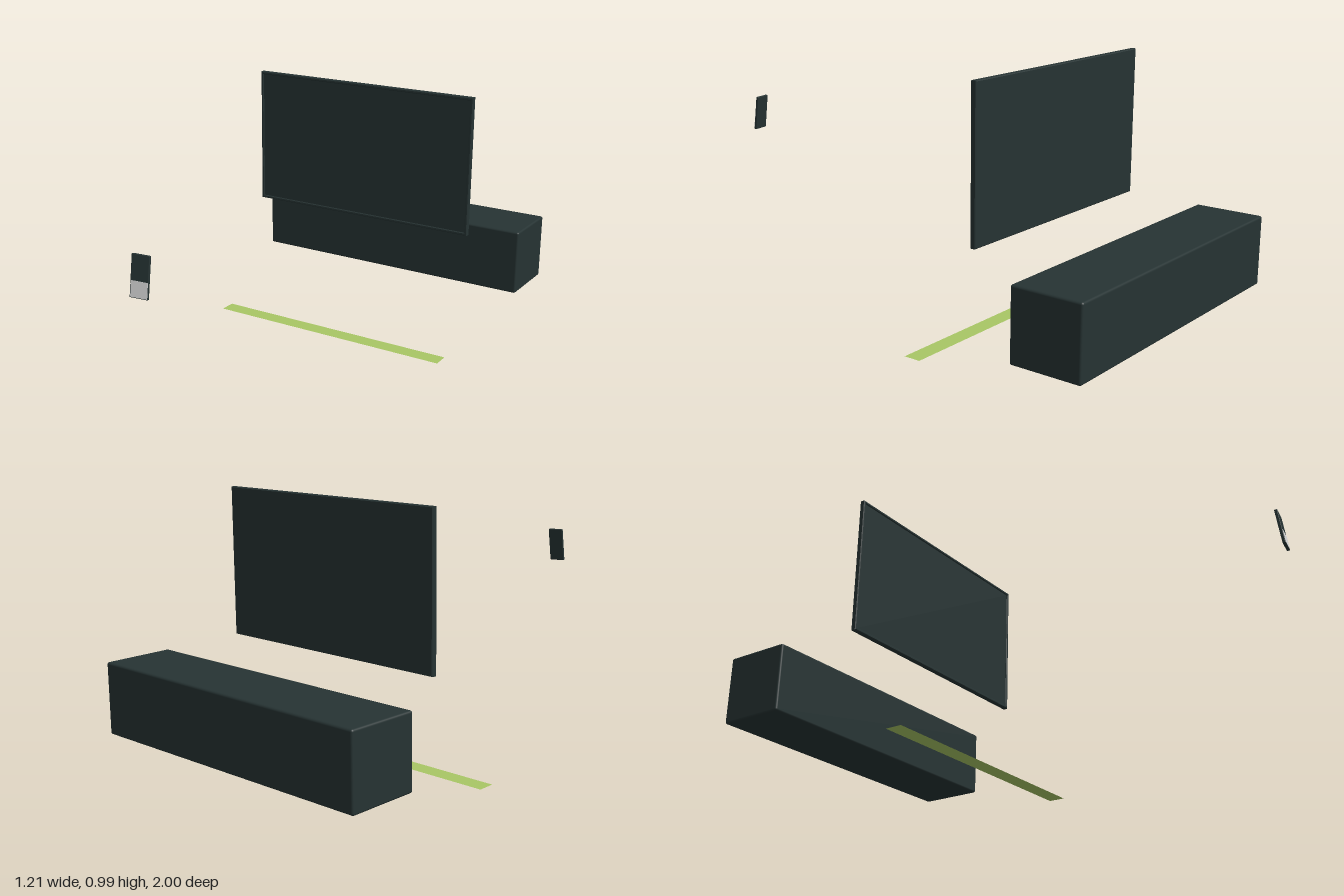
import * as THREE from 'three';
import { RoundedBoxGeometry } from 'three/addons/geometries/RoundedBoxGeometry.js';

const mat = (name, color, side = THREE.FrontSide) => {
  const m = new THREE.MeshStandardMaterial({ color, side });
  m.name = name;
  return m;
};

export function createModel() {
  const dark = mat('dark slate', 0x263333);
  const pale = mat('pale grey', 0xd8d8d8);
  const green = mat('light green', 0xa9c765, THREE.DoubleSide);
  const model = new THREE.Group();

  const add = (parent, name, geometry, material, x, y, z) => {
    const mesh = new THREE.Mesh(geometry, material);
    mesh.name = name;
    mesh.position.set(x, y, z);
    parent.add(mesh);
    return mesh;
  };

  // Long cabinet at the back, with softened edges
  add(model, 'cabinet', new RoundedBoxGeometry(1.21, 0.265, 0.265, 3, 0.008), dark, 0, 0.27, -0.867);

  // Flat screen: a bevelled frame around a slightly sunken panel
  const screen = new THREE.Group();
  screen.name = 'screen';
  screen.position.set(0, 0.716, -0.496);
  model.add(screen);
  const rect = (P, w, h) => {
    const p = new P();
    p.moveTo(-w / 2, -h / 2);
    p.lineTo(w / 2, -h / 2);
    p.lineTo(w / 2, h / 2);
    p.lineTo(-w / 2, h / 2);
    p.closePath();
    return p;
  };
  const outline = rect(THREE.Shape, 0.968, 0.548);
  outline.holes.push(rect(THREE.Path, 0.956, 0.536));
  const frame = new THREE.ExtrudeGeometry(outline, {
    depth: 0.016, bevelEnabled: true, bevelSize: 0.003, bevelThickness: 0.003, bevelSegments: 1,
  });
  add(screen, 'screenFrame', frame, dark, 0, 0, -0.008);
  add(screen, 'screenPanel', new THREE.BoxGeometry(0.956, 0.536, 0.018), dark, 0, 0, -0.002);

  // Thin strip lying on the floor
  const strip = add(model, 'floorStrip', new THREE.PlaneGeometry(1.024, 0.066), green, -0.002, 0, -0.25);
  strip.rotation.x = -Math.PI / 2;

  // Small handheld, leaning back and turned a little
  const handheld = new THREE.Group();
  handheld.name = 'handheld';
  handheld.position.set(0.063, 0.653, 0.981);
  handheld.rotation.set(-0.14, 0.16, 0);
  model.add(handheld);
  add(handheld, 'handheldBody', new RoundedBoxGeometry(0.064, 0.14, 0.011, 2, 0.002), dark, 0, 0, 0);
  add(handheld, 'handheldKeypad', new THREE.BoxGeometry(0.06, 0.053, 0.002), pale, 0.001, -0.041, 0.0055);

  return model;
}
